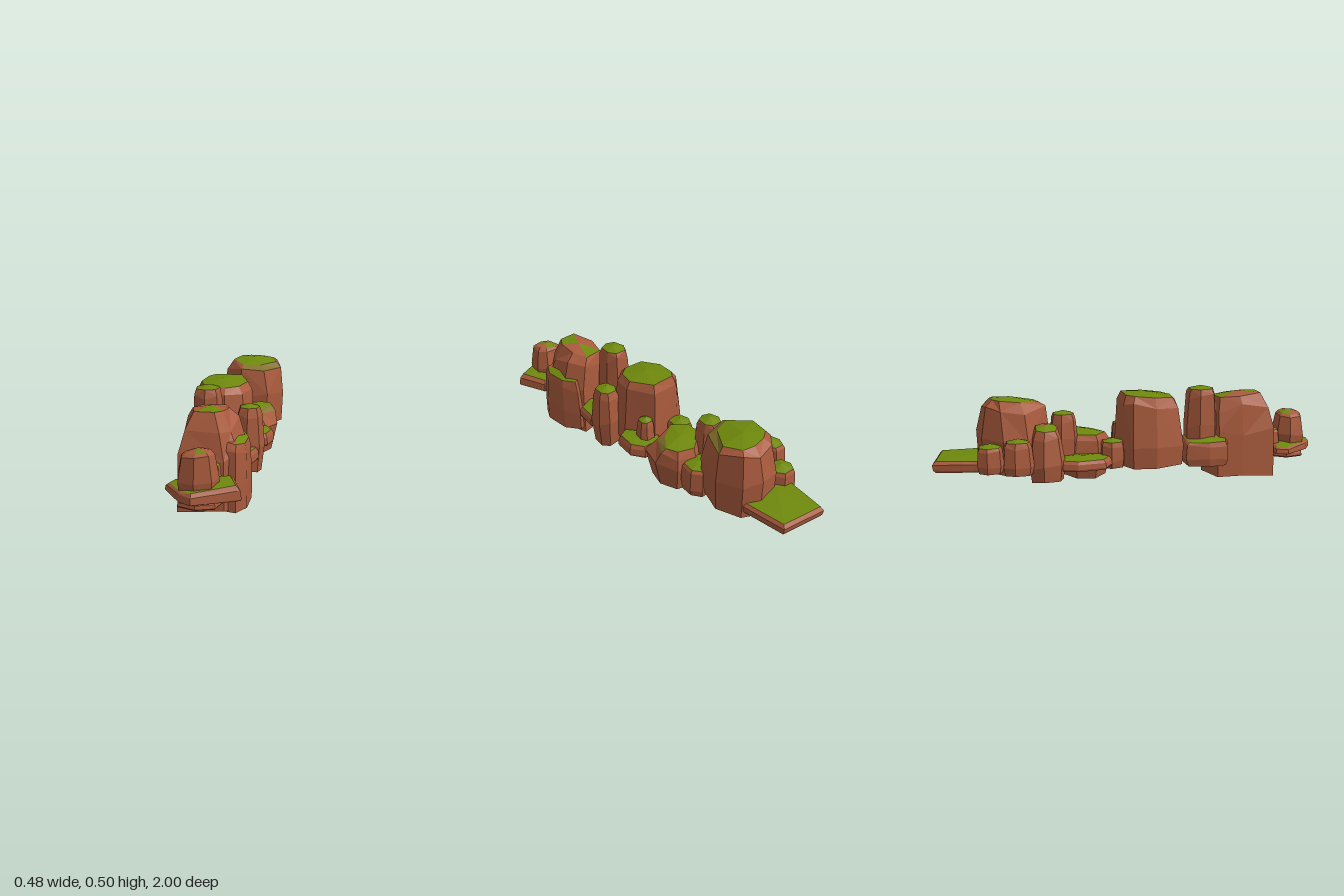
import * as THREE from 'three';

const rockMat = new THREE.MeshStandardMaterial({ color: 0xaa5b3d });
const mossMat = new THREE.MeshStandardMaterial({ color: 0x6f890c });
const fadedMossMat = new THREE.MeshStandardMaterial({ color: 0x83702a });
rockMat.name = 'clay rock';
mossMat.name = 'moss';
fadedMossMat.name = 'faded moss';
for (const m of [rockMat, mossMat, fadedMossMat]) m.flatShading = true;

// small seeded generator for chipped corners
let seed = 7;
const rand = () => ((seed = (seed * 16807) % 2147483647) / 2147483647) - 0.5;

const centre = (pts) => [0, 1].map((k) => pts.reduce((s, p) => s + p[k], 0) / pts.length);
const scaled = (pts, s) => {
  const c = centre(pts);
  return pts.map((p) => [c[0] + (p[0] - c[0]) * s, c[1] + (p[1] - c[1]) * s]);
};
const mix = (a, b, t) => a.map((p, i) => [p[0] + (b[i][0] - p[0]) * t, p[1] + (b[i][1] - p[1]) * t]);

// irregular seven-sided footprint filling a rectangle
function chipped(x0, x1, z0, z1) {
  const at = (u, v) => [x0 + (x1 - x0) * u, z0 + (z1 - z0) * v];
  return [at(0.25, 0), at(0.8, 0.03), at(1, 0.35), at(0.9, 0.85), at(0.5, 1), at(0.1, 0.85), at(0, 0.35)];
}

// faceted rock lofted through bottom, waist, shoulder and domed mossy top;
// "bare" lists the top facets that carry no moss
function rock(name, base, y0, y1, o = {}) {
  const { top = scaled(base, o.taper ?? 0.74), waist = 0.3, foot = 0.9, shoulder = 0.86, inset = 0.65,
    tx = 0, tz = 0, ragged = 0.05, crown = 0.016, bare = [], fadedEdge = false } = o;
  const c = centre(base);
  const n = base.length;
  const h = y1 - y0 - crown;
  const heights = [0, waist, shoulder, 1];
  const outlines = [scaled(base, foot), base, mix(base, scaled(top, 1.1), inset), top];
  const rings = outlines.map((pts, r) => pts.map(([x, z]) => {
    const t = heights[r];
    const chip = r === 1 || r === 2 ? rand() * h * 0.12 : r === 0 ? (rand() + 0.5) * h * ragged : 0;
    return [x, y0 + t * h + chip + t * t * ((x - c[0]) * tx + (z - c[1]) * tz), z];
  }).reverse());

  const faces = [[], [], []];
  const cap = (ring, lift, pick) => {
    const m = [0, 1, 2].map((k) => ring.reduce((s, p) => s + p[k], 0) / n);
    m[1] += lift;
    ring.forEach((p, i) => {
      const q = ring[(i + 1) % n];
      faces[pick(i)].push(...m, ...(lift ? p : q), ...(lift ? q : p));
    });
  };
  cap(rings[0], 0, () => 0);
  cap(rings[3], crown, (i) => (bare.includes((2 * n - 2 - i) % n) ? 0 : 1));
  for (let r = 0; r < 3; r++) {
    for (let i = 0; i < n; i++) {
      const j = (i + 1) % n;
      const [a, b, d, e] = [rings[r][i], rings[r][j], rings[r + 1][j], rings[r + 1][i]];
      const sunny = fadedEdge && r === 2 && (a[0] + b[0]) / 2 > c[0] && (a[2] + b[2]) / 2 > c[1];
      const list = faces[sunny ? 2 : 0];
      if ((i + r) % 2) list.push(...a, ...b, ...d, ...a, ...d, ...e);
      else list.push(...a, ...b, ...e, ...b, ...d, ...e);
    }
  }
  const geo = new THREE.BufferGeometry();
  geo.setAttribute('position', new THREE.Float32BufferAttribute(faces.flat(), 3));
  let start = 0;
  faces.forEach((f, i) => {
    if (f.length) geo.addGroup(start, f.length / 3, i);
    start += f.length / 3;
  });
  geo.computeVertexNormals();
  const mesh = new THREE.Mesh(geo, [rockMat, mossMat, fadedMossMat]);
  mesh.name = name;
  return mesh;
}

export function createModel() {
  const g = new THREE.Group();
  g.name = 'rockRidge';
  const add = (...args) => g.add(rock(...args));
  const slab = { taper: 0.87, waist: 0.2, foot: 0.95, shoulder: 0.7, ragged: 0, crown: 0.012 };

  // back end: flat slab and large boulder
  add('backSlab', [[-0.07, -1], [0.16, -0.96], [0.17, -0.72], [0.1, -0.62], [-0.09, -0.66], [-0.12, -0.76], [-0.1, -0.86]],
    0.135, 0.203, { ...slab, taper: 0.94 });
  add('backBoulder',
    [[0.1, -0.78], [0.18, -0.73], [0.22, -0.6], [0.15, -0.44], [0, -0.42], [-0.12, -0.54], [-0.11, -0.66], [-0.02, -0.76]],
    0.105, 0.475, {
      top: [[0.09, -0.71], [0.15, -0.69], [0.18, -0.6], [0.1, -0.49], [0.01, -0.47], [-0.06, -0.57], [-0.03, -0.67], [0.02, -0.7]],
      tz: -0.08, tx: -0.06, waist: 0.5, foot: 0.96, shoulder: 0.9, inset: 0.5, ragged: 0.02, fadedEdge: true });

  // cluster of small stones on the back right
  add('clusterStone', chipped(-0.165, -0.035, -0.79, -0.66), 0.13, 0.275, { taper: 0.82 });
  add('clusterStone', chipped(-0.24, -0.12, -0.67, -0.52), 0.13, 0.312, { taper: 0.74 });
  add('clusterStone', chipped(-0.21, -0.03, -0.54, -0.36), 0.08, 0.36, { taper: 0.6, tx: 0.2, bare: [1, 2] });
  add('clusterPillar', chipped(-0.07, 0.06, -0.42, -0.28), 0.13, 0.405, { taper: 0.74, waist: 0.5 });
  add('ledgeStone', chipped(0.03, 0.2, -0.48, -0.32), 0.07, 0.235, { taper: 0.82 });

  // middle: wide low block with ledges to either side
  add('lowBlock',
    [[0.1, -0.37], [0.2, -0.34], [0.235, -0.22], [0.19, -0.1], [0.06, -0.09], [-0.05, -0.18], [-0.03, -0.3]],
    0.04, 0.288, {
      top: [[0.1, -0.35], [0.18, -0.32], [0.2, -0.26], [0.13, -0.18], [0.04, -0.13], [-0.03, -0.19], [-0.01, -0.28]],
      waist: 0.6, foot: 0.76, shoulder: 0.84, ragged: 0, fadedEdge: true });
  add('rightLedge', chipped(-0.195, -0.02, -0.41, -0.12), 0.13, 0.192, slab);
  add('ridgeStone', chipped(-0.11, 0.01, -0.17, -0.04), 0.11, 0.26, { taper: 0.82 });
  add('leftLedge', chipped(0.04, 0.24, -0.12, 0.1), 0.135, 0.21, slab);
  add('ridgeStone', chipped(0.08, 0.17, -0.08, 0.01), 0.14, 0.315);

  // central boulder and its side pillar
  add('centralBoulder',
    [[-0.08, -0.06], [0.09, -0.07], [0.16, 0.08], [0.13, 0.2], [0.03, 0.27], [-0.11, 0.25], [-0.16, 0.1], [-0.14, -0.02]],
    0.1, 0.483, {
      top: [[-0.06, -0.04], [0.07, -0.04], [0.12, 0.08], [0.09, 0.17], [0.03, 0.21], [-0.07, 0.2], [-0.11, 0.1], [-0.09, 0]],
      foot: 0.96, ragged: 0.04, tz: -0.08 });
  add('sidePillar', chipped(0.08, 0.225, 0.15, 0.31), 0.055, 0.393, { taper: 0.66, waist: 0.45, foot: 0.8 });

  // ledges and tall pillar in front of the central boulder
  add('rightBlock', [[-0.13, 0.26], [0.02, 0.26], [0.02, 0.48], [-0.07, 0.5], [-0.14, 0.48], [-0.15, 0.38]],
    0.1, 0.25, { taper: 0.86, tx: 0.1 });
  add('leftLedge', chipped(-0.02, 0.21, 0.21, 0.45), 0.135, 0.205, slab);
  add('tallPillar', chipped(-0.1, 0.05, 0.28, 0.45), 0.11, 0.508, { taper: 0.74, waist: 0.5, foot: 0.95, shoulder: 0.9 });

  // front boulder with a lower shoulder on its left
  add('frontBoulder',
    [[-0.08, 0.45], [0.14, 0.43], [0.19, 0.53], [0.17, 0.68], [0.12, 0.74], [-0.08, 0.75], [-0.085, 0.58]],
    0, 0.462, {
      top: [[-0.02, 0.47], [0.08, 0.46], [0.11, 0.54], [0.1, 0.64], [0.07, 0.69], [-0.02, 0.69], [-0.05, 0.57]],
      waist: 0.58, foot: 1.03, inset: 0.5, ragged: 0.07, tz: 0.08, bare: [1, 2, 5, 6] });
  add('boulderShoulder', [[0.08, 0.45], [0.17, 0.43], [0.21, 0.52], [0.21, 0.66], [0.17, 0.73], [0.07, 0.72]],
    0.015, 0.335, { taper: 0.78, waist: 0.4, foot: 1, ragged: 0.06, tx: -0.2, bare: [4, 5] });

  // front slab carrying small stones
  add('frontSlabFoot', chipped(-0.06, 0.14, 0.77, 0.96), 0.1, 0.145, slab);
  add('frontSlab', [[-0.1, 0.76], [0.17, 0.74], [0.225, 0.9], [0.03, 1], [-0.03, 0.96], [-0.12, 0.82]],
    0.135, 0.195, { ...slab, waist: 0.1, foot: 0.98, tx: 0.1 });
  add('frontStone', chipped(-0.055, 0.125, 0.8, 0.96), 0.14, 0.348,
    { taper: 0.62, tx: 0.12, waist: 0.4, shoulder: 0.9, bare: [1, 2, 4, 5] });
  add('frontPebble', chipped(-0.04, 0.045, 0.74, 0.81), 0.15, 0.265);
  add('frontPebble', chipped(0.06, 0.115, 0.74, 0.8), 0.15, 0.26);
  return g;
}
